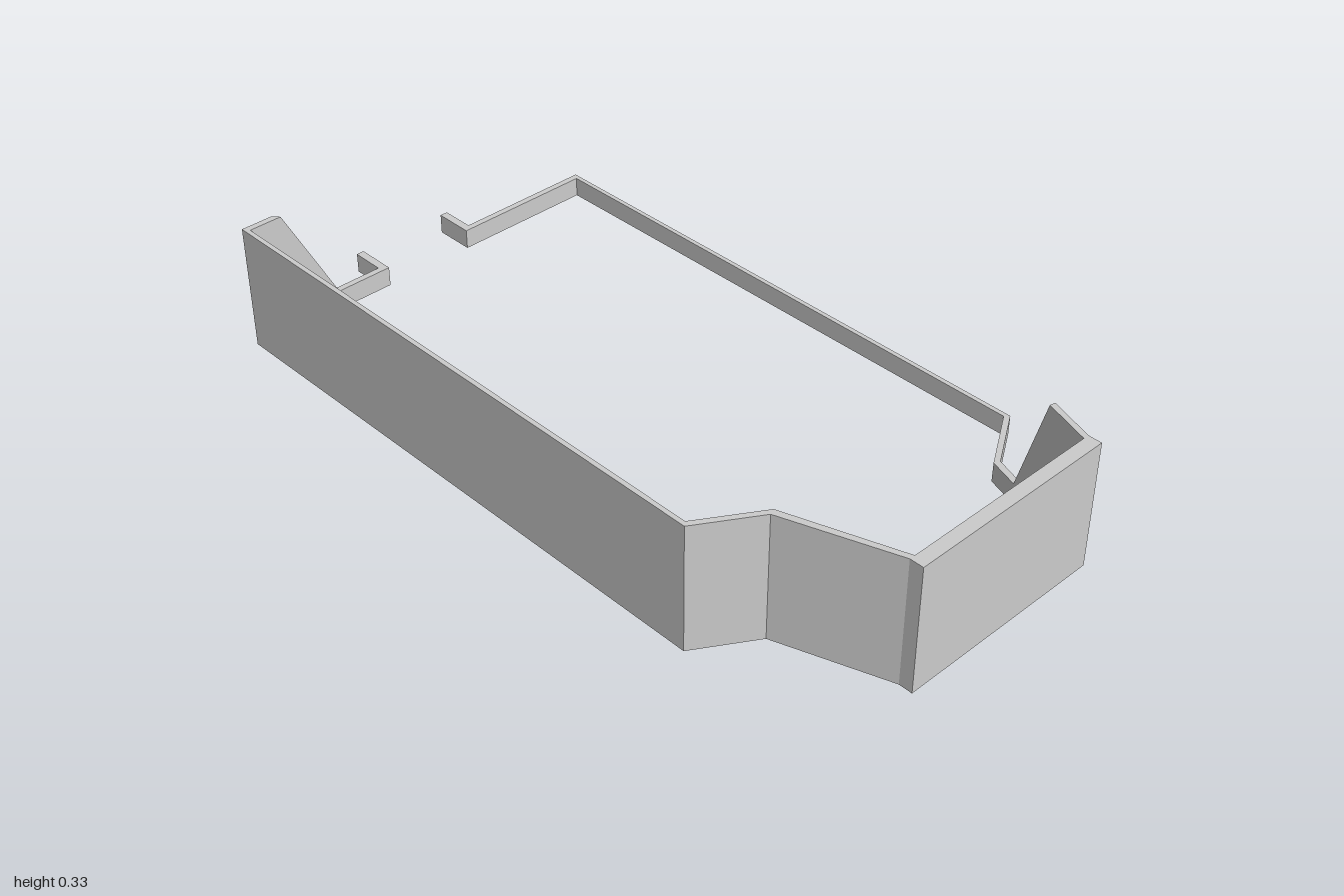
import * as THREE from 'three';

const TALL = 0.333, LOW = 0.053;

// Plan corners on the +x side, front to back: [outer x, outer z, inner x, inner z]
const PLAN = [
  [0.28, 0.965, 0.265, 0.965],
  [0.377, 0.688, 0.361, 0.681],
  [0.525, 0.597, 0.513, 0.587],
  [0.525, -0.91, 0.513, -0.893],
  [0.148, -0.91, 0.127, -0.893],
  [0.148, -1, 0.127, -1],
];
const NAMES = ['FrontDiagonal', 'Shoulder', 'SideWall', 'BackWall', 'RearTab'];

// Height steps along each wall: [fraction of length, height]
const level = (h) => [[0, h], [1, h]];
const HEIGHTS = {
  left: [[[0, TALL], [0.42, TALL], [0.727, LOW], [1, LOW]], level(LOW), level(LOW), level(LOW), level(LOW)],
  right: [level(TALL), level(TALL), level(TALL), [[0, TALL], [0.225, TALL], [0.597, LOW], [1, LOW]], level(LOW)],
};

// Lofts a closed wall between two plan corners; side = -1 mirrors it
function wallGeometry(from, to, heights, side) {
  const positions = [], index = [];
  for (const [t, h] of heights) {
    const [ox, oz, ix, iz] = from.map((v, i) => THREE.MathUtils.lerp(v, to[i], t));
    positions.push(ox * side, 0, oz, ox * side, h, oz, ix * side, h, iz, ix * side, 0, iz);
  }
  const quad = (a, b, c, d) => {
    if (side > 0) index.push(a, b, c, a, c, d);
    else index.push(a, c, b, a, d, c);
  };
  const last = (heights.length - 1) * 4;
  for (let s = 0; s < last; s += 4) {
    for (let k = 0; k < 4; k++) {
      const n = (k + 1) % 4;
      quad(s + k, s + 4 + k, s + 4 + n, s + n);
    }
  }
  quad(0, 1, 2, 3);
  quad(last + 3, last + 2, last + 1, last);
  const indexed = new THREE.BufferGeometry();
  indexed.setAttribute('position', new THREE.Float32BufferAttribute(positions, 3));
  indexed.setIndex(index);
  const geometry = indexed.toNonIndexed();
  geometry.computeVertexNormals();
  return geometry;
}

export function createModel() {
  const group = new THREE.Group();
  group.name = 'openFrame';
  const material = new THREE.MeshStandardMaterial({ color: 0xcccccc, flatShading: true });

  // Thick front panel
  const front = new THREE.Mesh(new THREE.BoxGeometry(0.56, TALL, 0.035), material);
  front.position.set(0, TALL / 2, 0.9825);
  front.name = 'frontPanel';
  group.add(front);

  // Thin walls down each side and round to the rear gap
  for (const [name, side] of [['left', 1], ['right', -1]]) {
    NAMES.forEach((part, i) => {
      const wall = new THREE.Mesh(wallGeometry(PLAN[i], PLAN[i + 1], HEIGHTS[name][i], side), material);
      wall.name = name + part;
      group.add(wall);
    });
  }
  return group;
}
